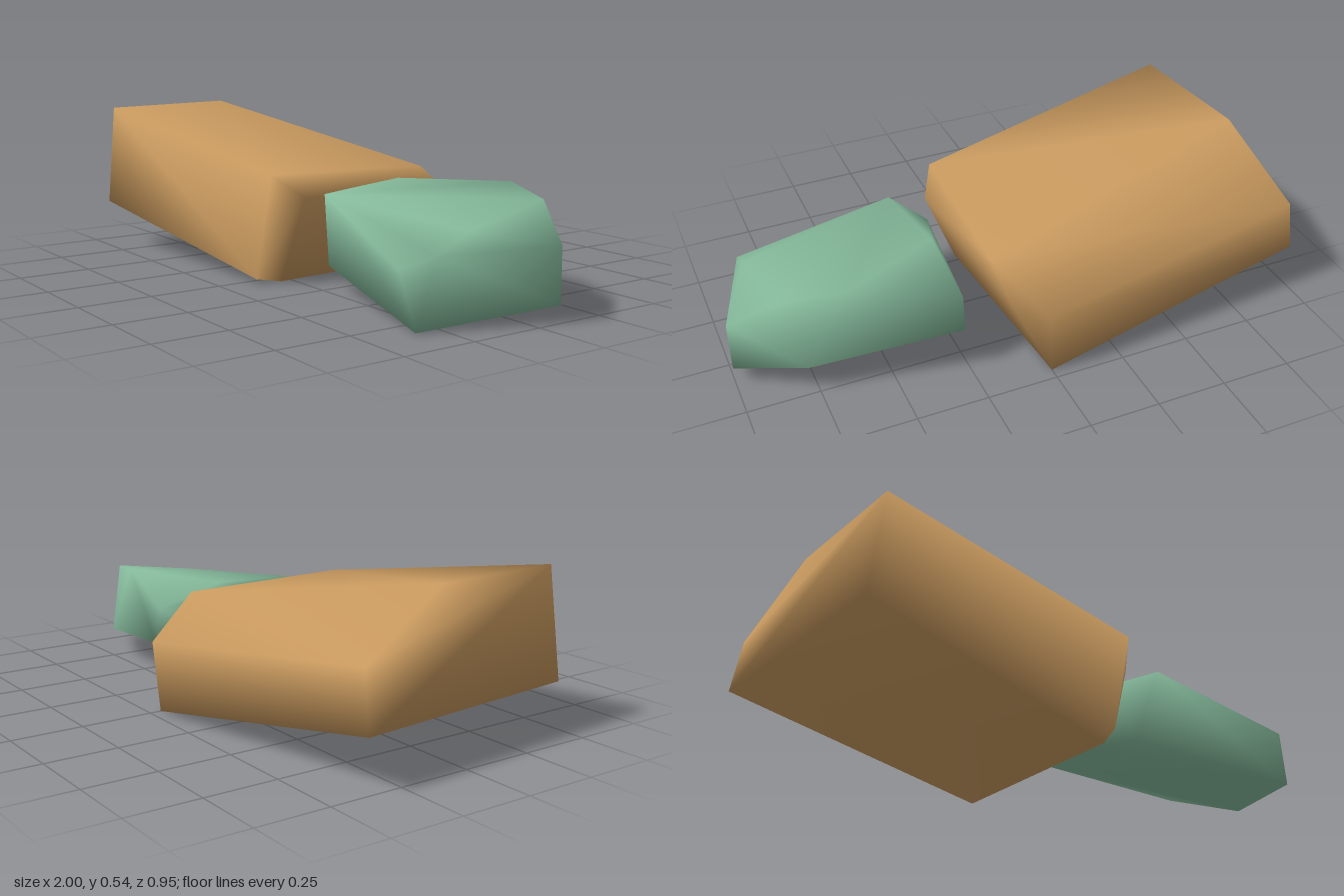
import * as THREE from 'three';
import { ConvexGeometry } from 'three/addons/geometries/ConvexGeometry.js';
import { mergeVertices } from 'three/addons/utils/BufferGeometryUtils.js';

// Faceted stone: hull around its corners, shaded smoothly across the edges
function stone(name, corners, material) {
  const hull = new ConvexGeometry(corners.map((c) => new THREE.Vector3(...c)));
  hull.deleteAttribute('normal');
  const geometry = mergeVertices(hull, 1e-4);
  geometry.computeVertexNormals();
  const mesh = new THREE.Mesh(geometry, material);
  mesh.name = name;
  return mesh;
}

export function createModel() {
  const tan = new THREE.MeshStandardMaterial({ color: 0xc99a5f });
  tan.name = 'tan stone';
  const green = new THREE.MeshStandardMaterial({ color: 0x84b89a });
  green.name = 'green stone';

  const group = new THREE.Group();
  group.name = 'stonePair';

  group.add(stone('largeStone', [
    // outer end
    [-0.86, 0.54, 0.47], [-0.905, 0.543, -0.03], [-0.97, 0.36, -0.365],
    [-1, 0.17, -0.37], [-0.91, 0.168, 0.478],
    // inner end, upper rim
    [0.12, 0.378, 0.365], [0.176, 0.3, 0.27], [0.137, 0.365, -0.25],
    [0.112, 0.25, -0.385], [0.02, 0.24, -0.475],
    // inner end, foot
    [0, 0, -0.46], [0.06, 0, 0.29], [0.04, 0.015, 0.378],
  ], tan));

  group.add(stone('smallStone', [
    // inner end
    [0.203, 0.118, -0.005], [0.25, 0.08, 0.225], [0.31, 0.332, 0.283],
    [0.23, 0.33, 0.1], [0.267, 0.353, -0.05], [0.26, 0.288, -0.311],
    [0.262, 0.163, -0.329],
    // back ridge
    [0.626, 0.368, -0.232], [0.834, 0.342, -0.17], [0.78, 0.1, -0.235],
    // outer tip
    [1, 0.235, -0.085], [1, 0.055, -0.085], [0.88, 0.285, 0.17],
    // front nose
    [0.877, 0.225, 0.29], [0.786, 0.179, 0.353], [0.845, 0.003, 0.338],
  ], green));

  return group;
}
